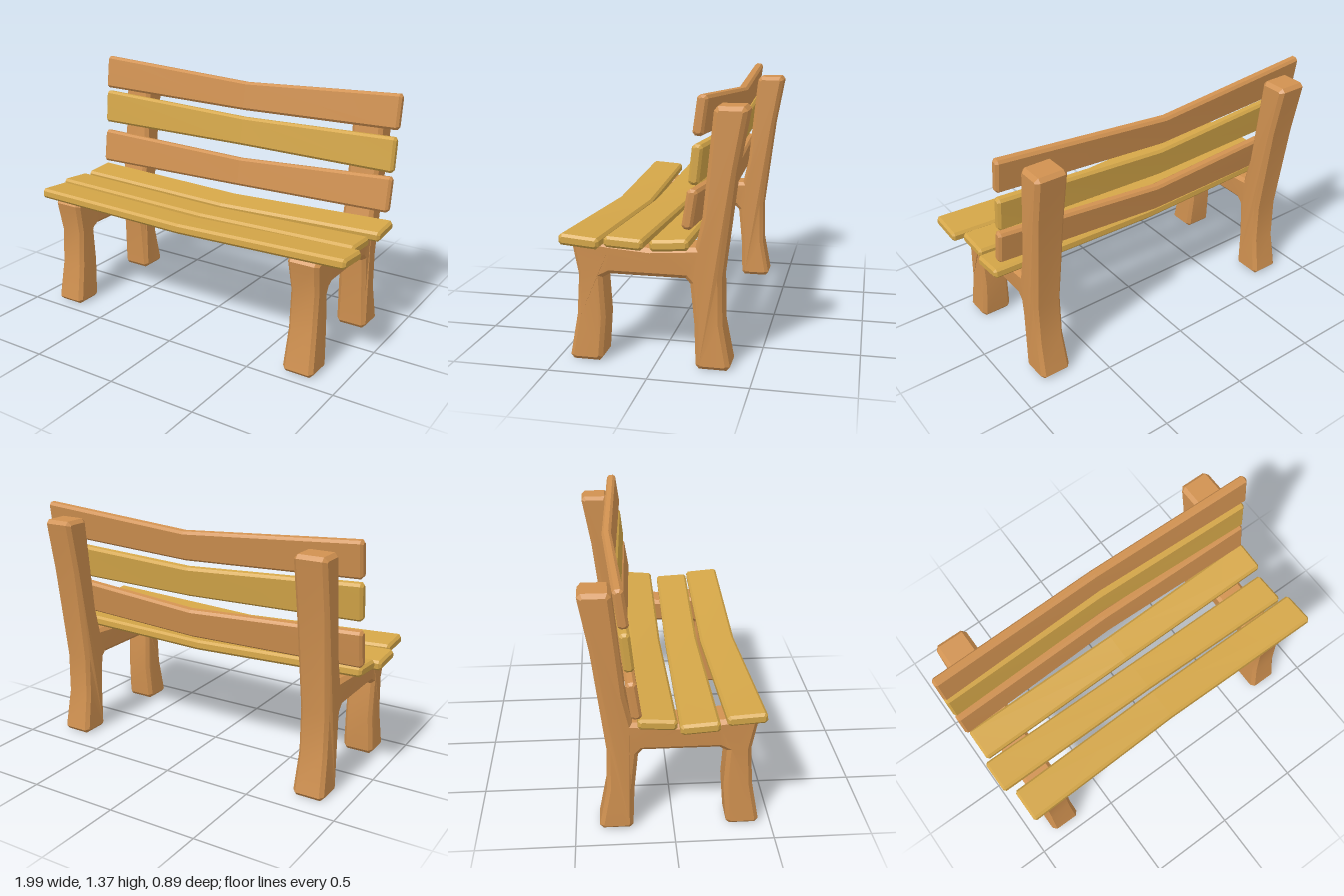
import * as THREE from 'three';
import { toCreasedNormals } from 'three/addons/utils/BufferGeometryUtils.js';

const brownWood = new THREE.MeshStandardMaterial({ color: 0xd09150 });
brownWood.name = 'brownWood';
const yellowWood = new THREE.MeshStandardMaterial({ color: 0xd4a648 });
yellowWood.name = 'yellowWood';

// Side frame outline as [z, y]: front leg, seat rail, backrest post, rear leg, arch
const FRAME = [
  [0.42, 0], [0.438, 0.02], [0.4, 0.235], [0.387, 0.445], [0.417, 0.615], [0.398, 0.637],
  [0.22, 0.617], [0.02, 0.603], [-0.204, 0.62], [-0.238, 0.77], [-0.29, 1.28], [-0.308, 1.3],
  [-0.43, 1.3], [-0.449, 1.28], [-0.398, 1.0], [-0.333, 0.47], [-0.337, 0.235], [-0.377, 0.02],
  [-0.36, 0], [-0.222, 0], [-0.206, 0.02], [-0.198, 0.23], [-0.178, 0.435], [-0.155, 0.46],
  [0.225, 0.46], [0.265, 0.438], [0.253, 0.23], [0.27, 0.02], [0.287, 0],
];

// Bevelled slab, slightly pinched in x along the legs
function frameGeometry() {
  const width = 0.176, bevel = 0.02;
  const shape = new THREE.Shape(FRAME.map(([z, y]) => new THREE.Vector2(z, y)));
  const geo = new THREE.ExtrudeGeometry(shape, {
    depth: width - 2 * bevel, bevelEnabled: true, bevelSegments: 1,
    bevelThickness: bevel, bevelSize: bevel, bevelOffset: -bevel,
  });
  geo.translate(0, 0, bevel - width / 2);
  geo.rotateY(-Math.PI / 2);
  const pos = geo.attributes.position;
  for (let i = 0; i < pos.count; i++) {
    const y = pos.getY(i);
    if (y > 0.15 && y < 0.54) pos.setX(i, pos.getX(i) * 0.9);
  }
  return toCreasedNormals(geo, 0.4);
}

// Bent board; each station is [x, yA, zA, yB, zB], the mid-line across its width
function plankGeometry(stations, thickness) {
  const c = 0.013;
  const points = [], index = [];
  const ring = ([, yA, zA, yB, zB], x, inset) => {
    const w = Math.hypot(yB - yA, zB - zA);
    const uy = (yB - yA) / w, uz = (zB - zA) / w;
    const a = w / 2 - inset, b = thickness / 2 - inset, k = inset ? c * 0.5 : c;
    const section = [
      [a, k - b], [a, b - k], [a - k, b], [k - a, b],
      [-a, b - k], [-a, k - b], [k - a, -b], [a - k, -b],
    ];
    for (const [p, q] of section) {
      points.push(x, (yA + yB) / 2 + p * uy - q * uz, (zA + zB) / 2 + p * uz + q * uy);
    }
  };
  const [left, middle, right] = stations;
  ring(left, left[0], c);
  ring(left, left[0] + c, 0);
  ring(middle, middle[0], 0);
  ring(right, right[0] - c, 0);
  ring(right, right[0], c);
  const n = 8, last = 4 * n;
  for (let i = 0; i < 4; i++) {
    for (let j = 0; j < n; j++) {
      const a = i * n + j, b = i * n + (j + 1) % n;
      index.push(a, b, b + n, a, b + n, a + n);
    }
  }
  for (let j = 1; j < n - 1; j++) {
    index.push(0, j + 1, j, last, last + j, last + j + 1);
  }
  const geo = new THREE.BufferGeometry();
  geo.setAttribute('position', new THREE.Float32BufferAttribute(points, 3));
  geo.setIndex(index);
  return toCreasedNormals(geo, 0.4);
}

// Seat boards sag in the middle
const SEAT = [
  ['frontSeatPlank', [[-0.95, 0.655, 0.25, 0.668, 0.445], [0, 0.617, 0.222, 0.634, 0.412], [0.995, 0.653, 0.23, 0.67, 0.428]]],
  ['middleSeatPlank', [[-0.995, 0.642, 0.02, 0.656, 0.212], [0, 0.617, 0.018, 0.628, 0.2], [0.945, 0.645, 0.028, 0.655, 0.22]]],
  ['rearSeatPlank', [[-0.97, 0.668, -0.18, 0.655, 0.008], [0, 0.638, -0.19, 0.622, -0.015], [0.98, 0.67, -0.2, 0.655, -0.013]]],
];

// Backrest boards bow backwards and dip in the middle
const BACK = [
  ['lowerBackPlank', brownWood, [[-0.985, 0.705, -0.185, 0.9, -0.213], [0, 0.705, -0.222, 0.865, -0.248], [0.955, 0.738, -0.185, 0.928, -0.215]]],
  ['middleBackPlank', yellowWood, [[-0.985, 0.955, -0.217, 1.15, -0.238], [0, 0.945, -0.253, 1.107, -0.275], [0.955, 0.95, -0.217, 1.138, -0.238]]],
  ['upperBackPlank', brownWood, [[-0.985, 1.172, -0.238, 1.364, -0.264], [0, 1.147, -0.282, 1.307, -0.305], [0.96, 1.178, -0.238, 1.364, -0.264]]],
];

export function createModel() {
  const bench = new THREE.Group();
  bench.name = 'bench';
  const add = (name, geometry, material) => {
    const mesh = new THREE.Mesh(geometry, material);
    mesh.name = name;
    bench.add(mesh);
    return mesh;
  };

  const frame = frameGeometry();
  add('rightFrame', frame, brownWood).position.x = -0.79;
  add('leftFrame', frame, brownWood).position.x = 0.76;

  for (const [name, stations] of SEAT) add(name, plankGeometry(stations, 0.055), yellowWood);
  for (const [name, material, stations] of BACK) add(name, plankGeometry(stations, 0.052), material);
  return bench;
}
